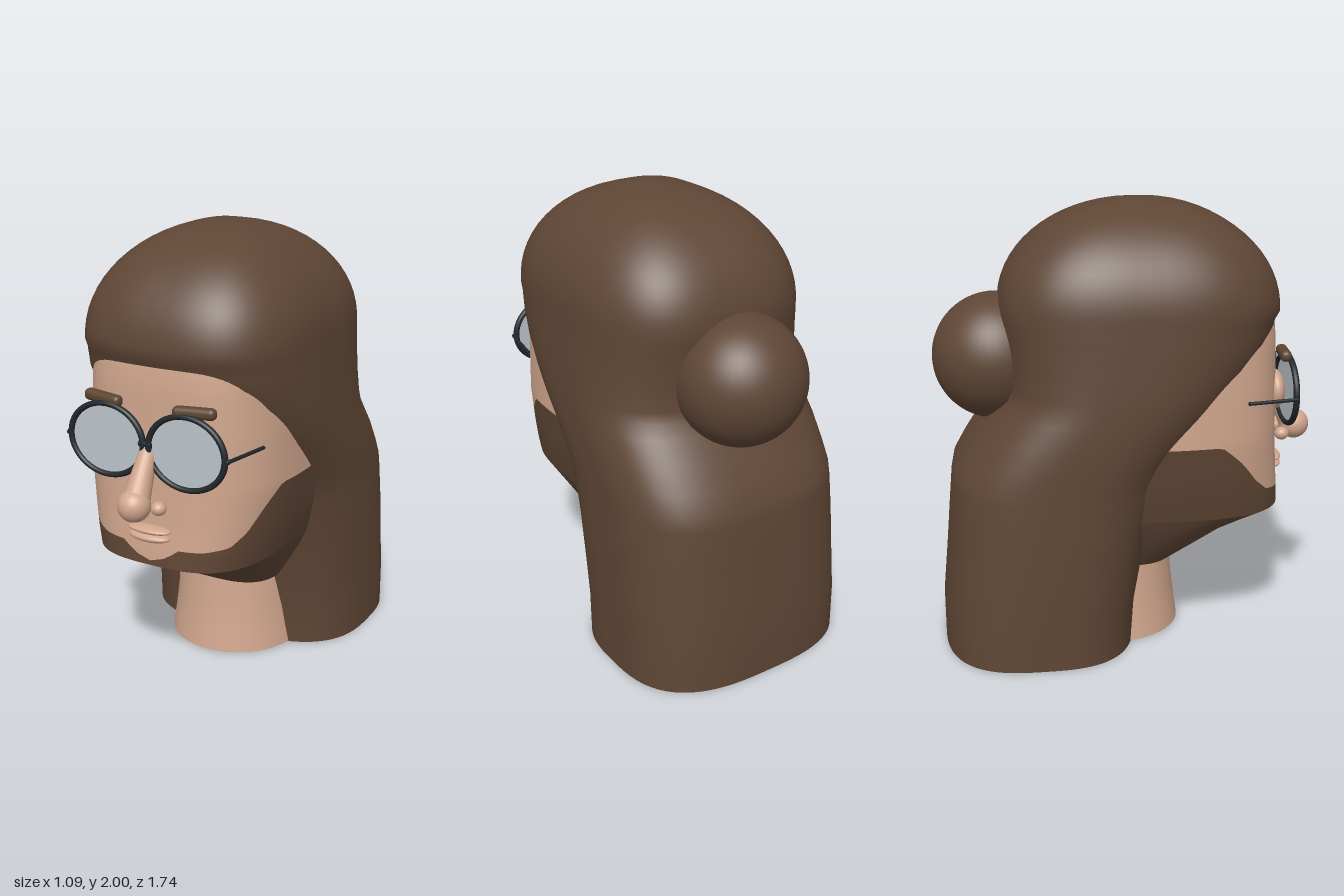
import * as THREE from 'three';
import { RoundedBoxGeometry } from 'three/addons/geometries/RoundedBoxGeometry.js';

const COLS = 112;
const mat = (name, color, side = THREE.FrontSide) => {
  const m = new THREE.MeshStandardMaterial({ color, side });
  m.name = name;
  return m;
};

// Linear lookup in a table of [key, value, value, ...] rows.
function lookup(table, k) {
  let i = 0;
  while (i < table.length - 2 && k > table[i + 1][0]) i++;
  const a = table[i], b = table[i + 1];
  const t = THREE.MathUtils.clamp((k - a[0]) / (b[0] - a[0]), 0, 1);
  return a.map((v, n) => v + (b[n] - v) * t);
}

// Point on a rounded-square section [y, halfWidth, frontZ, backZ]; u = 0 faces front.
function sectionPoint([y, w, zf, zb], u, n) {
  const p = (v) => Math.sign(v) * Math.pow(Math.abs(v), 2 / n);
  return [w * p(Math.sin(u)), y, (zf + zb) / 2 + ((zf - zb) / 2) * p(Math.cos(u))];
}

// Skins closed loops from bottom to top; each row is a function of u.
function loft(rows, capBottom = false) {
  const pos = [], idx = [];
  const ring = (row) => {
    for (let j = 0; j < COLS; j++) pos.push(...row((j / COLS) * Math.PI * 2));
  };
  rows.forEach(ring);
  for (let i = 0; i < rows.length - 1; i++) {
    for (let j = 0; j < COLS; j++) {
      const a = i * COLS + j, b = i * COLS + ((j + 1) % COLS);
      idx.push(a, b, a + COLS, b, b + COLS, a + COLS);
    }
  }
  if (capBottom) {
    const start = pos.length / 3;
    ring(rows[0]);
    const f = rows[0](0), k = rows[0](Math.PI);
    pos.push(0, f[1], (f[2] + k[2]) / 2);
    for (let j = 0; j < COLS; j++) idx.push(start + COLS, start + ((j + 1) % COLS), start + j);
  }
  const g = new THREE.BufferGeometry();
  g.setAttribute('position', new THREE.Float32BufferAttribute(pos, 3));
  g.setIndex(idx);
  g.computeVertexNormals();
  return g;
}

// Head sections: y, half width, front z, back z
const HEAD = [
  [0.36, 0.27, 0.2, -0.3], [0.45, 0.325, 0.34, -0.36], [0.54, 0.375, 0.48, -0.42],
  [0.62, 0.41, 0.695, -0.45], [0.7, 0.43, 0.69, -0.46], [0.8, 0.45, 0.68, -0.48],
  [0.97, 0.473, 0.67, -0.5], [1.2, 0.47, 0.665, -0.5], [1.4, 0.46, 0.66, -0.5],
  [1.5, 0.45, 0.65, -0.48], [1.6, 0.42, 0.59, -0.45],
];
// Upper edge of the beard: u, y
const BEARD_EDGE = [
  [0, 0.64], [0.083, 0.67], [0.163, 0.708], [0.404, 0.71], [0.715, 0.73],
  [0.883, 0.785], [1.054, 0.88], [1.25, 0.97], [3.2, 0.97],
];
const headPoint = (y, u) => sectionPoint(lookup(HEAD, y), u, 3.1);
const beardTop = (u) => lookup(BEARD_EDGE, Math.min(u, Math.PI * 2 - u))[1];
const steps = (n, f) => Array.from({ length: n + 1 }, (_, i) => f(i / n));

// Hair sections below the dome
const HAIR = [
  [0, 0.545, 0.015, -0.86], [0.2, 0.545, 0.025, -0.86], [0.4, 0.544, 0.06, -0.84],
  [0.6, 0.543, 0.1, -0.822], [0.76, 0.54, 0.15, -0.807], [0.82, 0.54, 0.175, -0.795],
  [0.9, 0.54, 0.23, -0.75], [1.0, 0.54, 0.315, -0.685], [1.1, 0.537, 0.41, -0.605],
  [1.15, 0.536, 0.45, -0.565], [1.2, 0.535, 0.49, -0.55], [1.3, 0.53, 0.575, -0.553],
  [1.4, 0.525, 0.63, -0.562], [1.45, 0.522, 0.645, -0.567], [1.49, 0.52, 0.656, -0.572],
  [1.52, 0.518, 0.675, -0.575],
];

export function createModel() {
  const hair = mat('hairBrown', 0x5f4635);
  const brow = mat('browBrown', 0x5c452f);
  const skin = mat('skin', 0xd0a68d);
  const frame = mat('frameBlack', 0x23272b);
  const glass = mat('lensGrey', 0xbcc5cb, THREE.DoubleSide);

  const model = new THREE.Group();
  model.name = 'bust';
  const add = (name, geo, material, x = 0, y = 0, z = 0, parent = model) => {
    const m = new THREE.Mesh(geo, material);
    m.name = name;
    m.position.set(x, y, z);
    parent.add(m);
    return m;
  };
  const ball = (name, material, r, x, y, z) => {
    const m = add(name, new THREE.SphereGeometry(1, 40, 28), material, x, y, z);
    m.scale.set(...r);
    return m;
  };
  // Tapered rod between two points
  const rod = (name, material, a, b, ra, rb, parent = model) => {
    const from = new THREE.Vector3(...a), to = new THREE.Vector3(...b);
    const dir = to.clone().sub(from);
    const m = add(name, new THREE.CylinderGeometry(rb, ra, dir.length(), 20), material, 0, 0, 0, parent);
    m.position.copy(from).addScaledVector(dir, 0.5);
    m.quaternion.setFromUnitVectors(new THREE.Vector3(0, 1, 0), dir.normalize());
    return m;
  };

  // Hair: long lower part with a swept front, then an elliptical dome
  const dome = steps(16, (t) => {
    const a = 0.06 + t * (Math.PI / 2 - 0.061), c = Math.cos(a);
    return [1.53 + 0.47 * Math.sin(a), 0.518 * c, 0.05 + 0.625 * c, 0.05 - 0.625 * c];
  });
  add('hair', loft([...HAIR, ...dome].map((s) => (u) => sectionPoint(s, u, 2.85)), true), hair);
  add('hairBun', new THREE.SphereGeometry(0.285, 48, 32), hair, 0, 1.305, -0.585);

  // Face, beard and the sharp underside of the jaw share one surface
  add('face', loft(steps(28, (t) => (u) => headPoint(beardTop(u) * (1 - t) + 1.6 * t, u))), skin);
  add('beard', loft(steps(8, (t) => (u) => headPoint(0.62 * (1 - t) + beardTop(u) * t, u))), hair);
  add('beardUnderside', loft(steps(6, (t) => (u) => headPoint(0.36 + 0.26 * t, u)), true), hair);

  // Neck
  const neckPoints = [[0, 0.004], [0.312, 0.004], [0.312, 0.004], [0.298, 0.1], [0.283, 0.22], [0.27, 0.4]];
  add('neck', new THREE.LatheGeometry(neckPoints.map((p) => new THREE.Vector2(...p)), 56), skin, 0, 0, -0.068);

  // Nose
  rod('noseBridge', skin, [0, 1.2, 0.645], [0, 0.935, 0.79], 0.03, 0.06);
  ball('noseTip', skin, [0.07, 0.07, 0.07], 0, 0.928, 0.8);

  // Lips
  ball('upperLip', skin, [0.103, 0.018, 0.045], 0, 0.785, 0.69);
  ball('lowerLip', skin, [0.098, 0.022, 0.045], 0, 0.752, 0.69);

  // Glasses and paired features
  const glasses = new THREE.Group();
  glasses.name = 'glasses';
  model.add(glasses);
  for (const s of [1, -1]) {
    const side = s > 0 ? 'left' : 'right';
    ball(side + 'Nostril', skin, [0.033, 0.03, 0.033], s * 0.07, 0.902, 0.725);
    ball(side + 'Eyelid', skin, [0.1, 0.09, 0.045], s * 0.19, 1.155, 0.648);
    const b = add(side + 'Eyebrow', new RoundedBoxGeometry(0.19, 0.05, 0.05, 4, 0.022), brow, s * 0.22, 1.325, 0.68);
    b.rotation.set(0, s * 0.12, s * 0.04);

    const rim = add(side + 'Rim', new THREE.TorusGeometry(0.18, 0.014, 14, 72), frame, s * 0.193, 1.155, 0.705, glasses);
    rim.scale.y = 0.86;
    const lens = add(side + 'Lens', new THREE.CircleGeometry(0.178, 64), glass, s * 0.193, 1.155, 0.705, glasses);
    lens.scale.y = 0.86;
    rod(side + 'Hinge', frame, [s * 0.37, 1.155, 0.705], [s * 0.392, 1.155, 0.703], 0.01, 0.01, glasses);
    rod(side + 'Temple', frame, [s * 0.388, 1.155, 0.705], [s * 0.427, 1.155, 0.48], 0.008, 0.008, glasses);
  }
  rod('bridge', frame, [-0.03, 1.165, 0.705], [0.03, 1.165, 0.705], 0.013, 0.013, glasses);

  return model;
}
